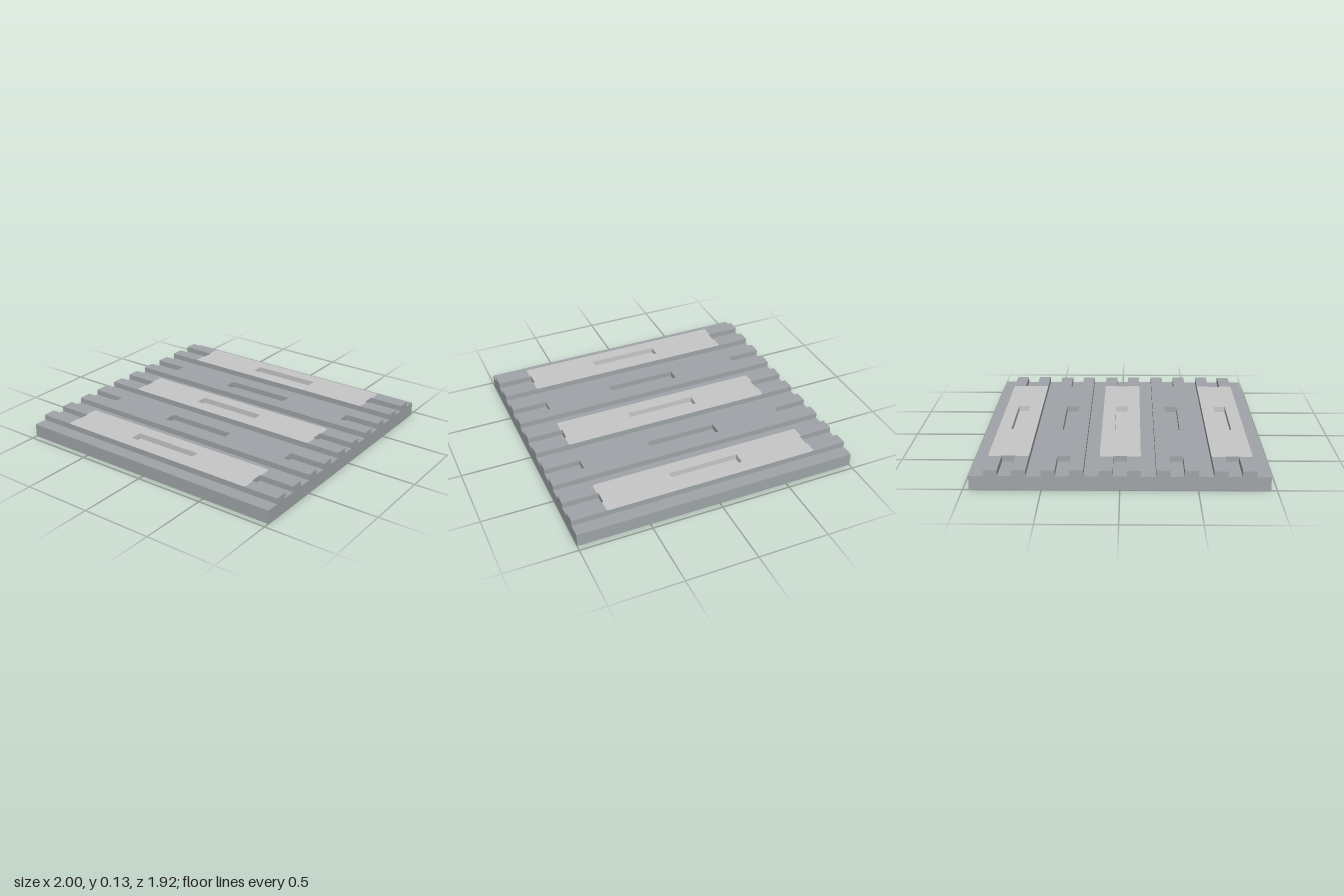
import * as THREE from 'three';

const BASE_TOP = 0.093, TOP = 0.133;   // heights of groove floor and rib top
const HALF_W = 0.135, SLOT = 0.045;    // half widths of a rib and its slots
const SLOT_X = 0.253, NOTCH_X = 0.75, PATCH_X = 0.76;

// Rectangle outline given by half sizes
function rect(target, hx, hy) {
  target.moveTo(-hx, -hy);
  target.lineTo(hx, -hy);
  target.lineTo(hx, hy);
  target.lineTo(-hx, hy);
  target.closePath();
  return target;
}

// Rib outline notched at both ends, with a central slot and rounded corners of radius r
function notchedOutline(hx, r) {
  const s = new THREE.Shape();
  s.moveTo(-hx + r, -HALF_W);
  s.lineTo(hx - r, -HALF_W);
  if (r) s.quadraticCurveTo(hx, -HALF_W, hx, -HALF_W + r);
  s.lineTo(hx, -SLOT);
  s.lineTo(NOTCH_X, -SLOT);
  s.lineTo(NOTCH_X, SLOT);
  s.lineTo(hx, SLOT);
  s.lineTo(hx, HALF_W - r);
  if (r) s.quadraticCurveTo(hx, HALF_W, hx - r, HALF_W);
  s.lineTo(-hx + r, HALF_W);
  if (r) s.quadraticCurveTo(-hx, HALF_W, -hx, HALF_W - r);
  s.lineTo(-hx, SLOT);
  s.lineTo(-NOTCH_X, SLOT);
  s.lineTo(-NOTCH_X, -SLOT);
  s.lineTo(-hx, -SLOT);
  s.lineTo(-hx, -HALF_W + r);
  if (r) s.quadraticCurveTo(-hx, -HALF_W, -hx + r, -HALF_W);
  s.holes.push(rect(new THREE.Path(), SLOT_X, SLOT));
  return s;
}

// Extrude a plan outline upward from y0 to y1
function slab(shape, y0, y1) {
  return new THREE.ExtrudeGeometry(shape, { depth: y1 - y0, bevelEnabled: false, curveSegments: 5 })
    .rotateX(-Math.PI / 2).translate(0, y0, 0);
}

export function createModel() {
  const grey = new THREE.MeshStandardMaterial({ name: 'grey', color: 0xa0a5a9 });
  const pale = new THREE.MeshStandardMaterial({ name: 'paleGrey', color: 0xc8c8c8 });
  const model = new THREE.Group();
  model.name = 'ribbedPlate';
  const add = (parent, name, geometry, material) => {
    const mesh = new THREE.Mesh(geometry, material);
    mesh.name = name;
    parent.add(mesh);
  };

  // Flat base
  add(model, 'base', new THREE.BoxGeometry(2, BASE_TOP, 1.92).translate(0, BASE_TOP / 2, 0), grey);

  const ribGeo = slab(notchedOutline(1, 0), BASE_TOP, TOP);
  const patchGeo = new THREE.ShapeGeometry(notchedOutline(PATCH_X, 0.02), 5)
    .rotateX(-Math.PI / 2).translate(0, TOP + 0.001, 0);
  const liningShape = rect(new THREE.Shape(), SLOT_X, SLOT);
  liningShape.holes.push(rect(new THREE.Path(), SLOT_X - 0.002, SLOT - 0.002));
  const liningGeo = slab(liningShape, BASE_TOP, TOP + 0.001);
  const floorGeo = new THREE.PlaneGeometry(2 * SLOT_X, 2 * SLOT)
    .rotateX(-Math.PI / 2).translate(0, BASE_TOP + 0.001, 0);

  // Five ribs, every other one with a pale top panel and slot
  for (let i = -2; i <= 2; i++) {
    const rib = new THREE.Group();
    rib.name = 'rib' + (i + 3);
    rib.position.z = i * 0.366;
    add(rib, 'ribBody', ribGeo, grey);
    if (i % 2 === 0) {
      add(rib, 'palePanel', patchGeo, pale);
      add(rib, 'slotLining', liningGeo, pale);
      add(rib, 'slotFloor', floorGeo, pale);
    }
    model.add(rib);
  }
  return model;
}
